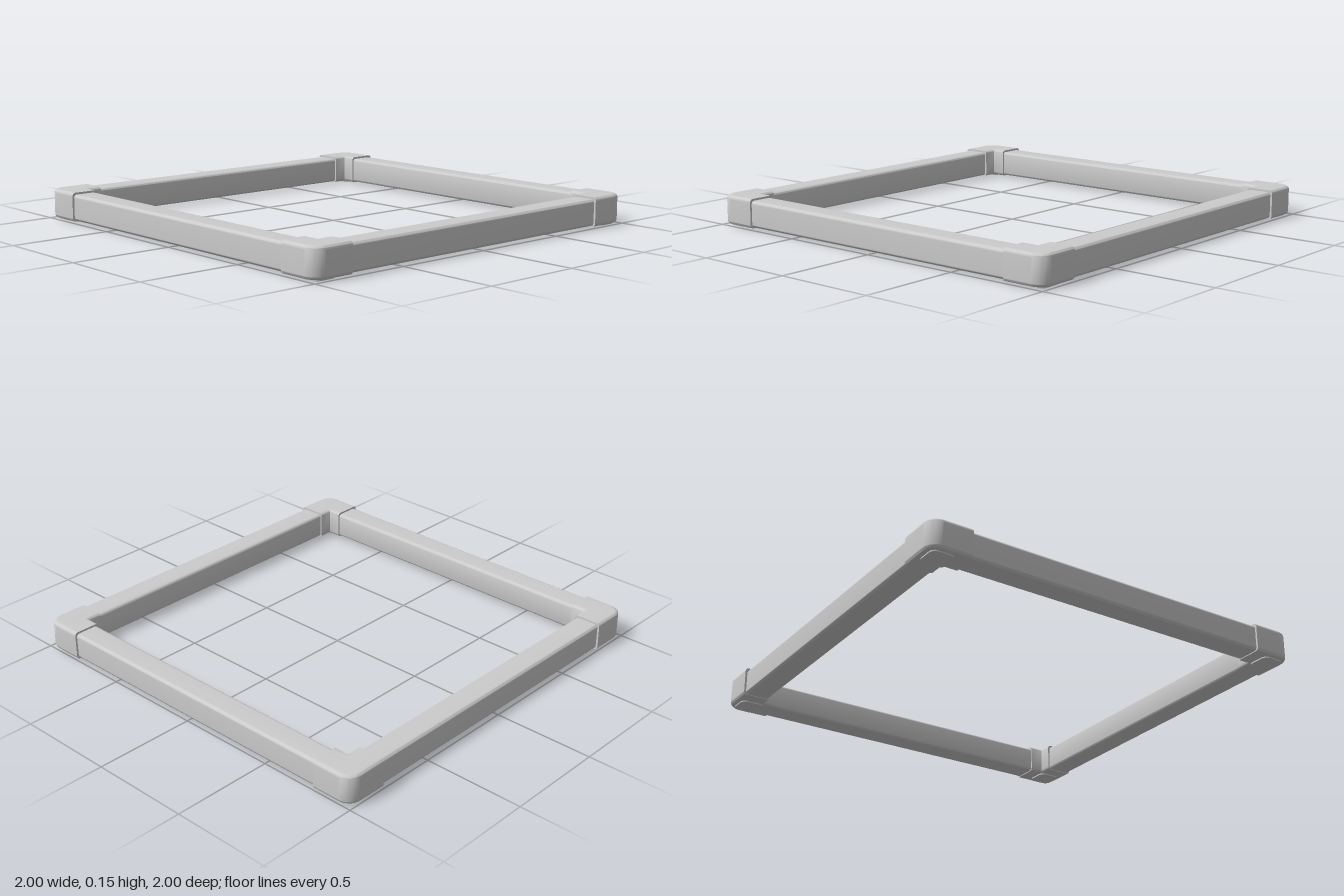
import * as THREE from 'three';
import { toCreasedNormals } from 'three/addons/utils/BufferGeometryUtils.js';

const material = new THREE.MeshStandardMaterial({ color: 0xcccccc });

// Rounded rectangle, counter-clockwise, as a THREE.Shape
function roundedRect(x0, y0, x1, y1, r) {
  const s = new THREE.Shape();
  s.absarc(x1 - r, y0 + r, r, -Math.PI / 2, 0);
  s.absarc(x1 - r, y1 - r, r, 0, Math.PI / 2);
  s.absarc(x0 + r, y1 - r, r, Math.PI / 2, Math.PI);
  s.absarc(x0 + r, y0 + r, r, Math.PI, Math.PI * 1.5);
  return s;
}

// L-shaped sleeve: a rounded section swept round the corner at (-1, -1)
function elbowGeometry() {
  const inner = -0.857, end = -0.79, R = 0.065, width = 1 + inner;
  const section = roundedRect(0, 0.006, width, 0.15, 0.018).getPoints(6);
  section.pop();

  // Stations pair an outer point with an inner point, both in (x, z)
  const stations = [[-1, end, inner, end]];
  const steps = 10;
  for (let i = 0; i <= steps; i++) {
    const a = (i / steps) * Math.PI / 2;
    stations.push([-1 + R - R * Math.cos(a), -1 + R - R * Math.sin(a), inner, inner]);
  }
  stations.push([end, -1, end, inner]);

  const positions = [], index = [], n = section.length;
  for (const [ox, oz, ix, iz] of stations) {
    for (const p of section) {
      const f = p.x / width;
      positions.push(ix + (ox - ix) * f, p.y, iz + (oz - iz) * f);
    }
  }
  const last = (stations.length - 1) * n;
  for (let s = 0; s < last; s += n) {
    for (let j = 0; j < n; j++) {
      const a = s + j, b = s + (j + 1) % n;
      index.push(a, b, a + n, b, b + n, a + n);
    }
  }
  // Flat ends of both arms
  for (let j = 1; j < n - 1; j++) {
    index.push(0, j + 1, j, last, last + j, last + j + 1);
  }
  const g = new THREE.BufferGeometry();
  g.setAttribute('position', new THREE.Float32BufferAttribute(positions, 3));
  g.setIndex(index);
  return toCreasedNormals(g, 0.6);
}

// Straight rail along x at the back side
function railGeometry() {
  const length = 1.72;
  const g = new THREE.ExtrudeGeometry(roundedRect(0.865, 0.01, 0.99, 0.14, 0.016), {
    depth: length, bevelEnabled: false, curveSegments: 6,
  });
  g.translate(0, 0, -length / 2);
  g.rotateY(Math.PI / 2);
  return toCreasedNormals(g, 0.6);
}

// Thin pad under the corner
function padGeometry() {
  const g = new THREE.ExtrudeGeometry(roundedRect(-0.975, -0.975, -0.857, -0.857, 0.03), {
    depth: 0.01, bevelEnabled: false, curveSegments: 6,
  });
  g.rotateX(Math.PI / 2);
  g.translate(0, 0.01, 0);
  return toCreasedNormals(g, 0.6);
}

export function createModel() {
  const model = new THREE.Group();
  model.name = 'squareFrame';
  const parts = { cornerSleeve: elbowGeometry(), rail: railGeometry(), cornerPad: padGeometry() };

  // The same side and corner, turned four times
  for (let i = 0; i < 4; i++) {
    const side = new THREE.Group();
    side.name = `side${i + 1}`;
    side.rotation.y = (i * Math.PI) / 2;
    for (const [name, geometry] of Object.entries(parts)) {
      const mesh = new THREE.Mesh(geometry, material);
      mesh.name = name;
      side.add(mesh);
    }
    model.add(side);
  }
  return model;
}
